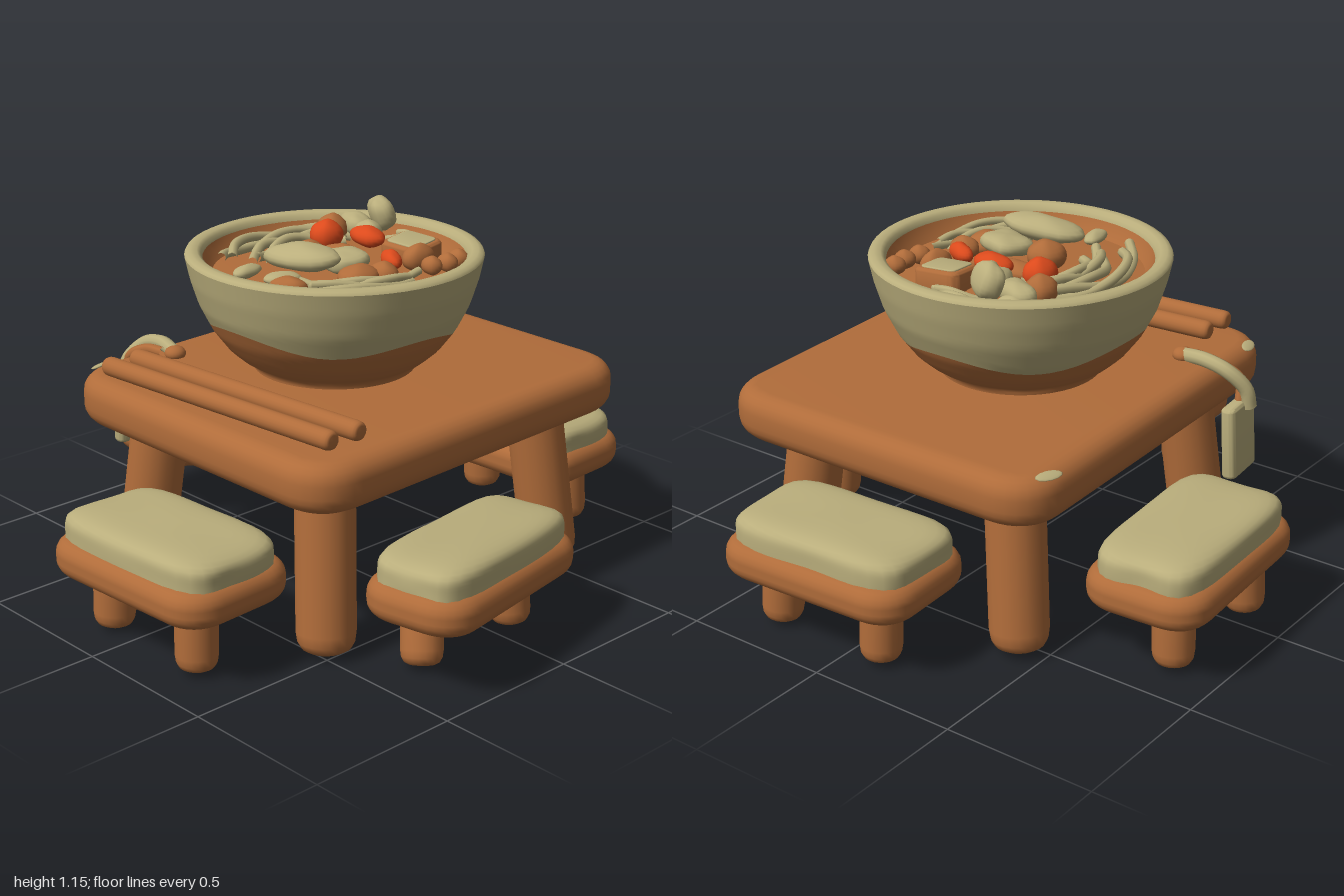
import * as THREE from 'three';
import { mergeVertices, toCreasedNormals } from 'three/addons/utils/BufferGeometryUtils.js';

const V = (x, y, z) => new THREE.Vector3(x, y, z);
const mat = (name, color, side = THREE.FrontSide) => {
  const m = new THREE.MeshStandardMaterial({ color, side });
  m.name = name;
  return m;
};

export function createModel() {
  const model = new THREE.Group();
  const wood = mat('wood', 0xb06c3a);
  const cream = mat('cream', 0xbaae7c);
  const red = mat('red', 0xdc4a1c);

  const add = (parent, name, geo, m, x = 0, y = 0, z = 0) => {
    const mesh = new THREE.Mesh(geo, m);
    mesh.name = name;
    mesh.position.set(x, y, z);
    parent.add(mesh);
    return mesh;
  };

  // Rounded slab centred on its origin, with soft edges
  const slab = (w, h, d, r, b) => {
    const s = new THREE.Shape(), x = w / 2 - b, y = d / 2 - b;
    s.moveTo(-x + r, -y);
    s.lineTo(x - r, -y); s.quadraticCurveTo(x, -y, x, -y + r);
    s.lineTo(x, y - r); s.quadraticCurveTo(x, y, x - r, y);
    s.lineTo(-x + r, y); s.quadraticCurveTo(-x, y, -x, y - r);
    s.lineTo(-x, -y + r); s.quadraticCurveTo(-x, -y, -x + r, -y);
    const g = new THREE.ExtrudeGeometry(s, {
      depth: h - 2 * b, bevelThickness: b, bevelSize: b, bevelSegments: 5, curveSegments: 8,
    });
    g.translate(0, 0, -(h - 2 * b) / 2).rotateX(-Math.PI / 2);
    return toCreasedNormals(g, 0.7);
  };

  // Soft lump: a sphere squared off by exponent n, with half sizes a, b, c
  const lump = (a, b, c, n = 2, wobble = 0, seg = 20) => {
    let g = new THREE.SphereGeometry(1, seg, Math.ceil(seg * 0.6));
    g.deleteAttribute('uv');
    g.deleteAttribute('normal');
    g = mergeVertices(g, 1e-4);
    const p = g.attributes.position;
    for (let i = 0; i < p.count; i++) {
      const x = p.getX(i), y = p.getY(i), z = p.getZ(i);
      const sum = Math.abs(x) ** n + Math.abs(y) ** n + Math.abs(z) ** n;
      const k = sum ** (-1 / n) * (1 + wobble * Math.sin(5 * x + 2) * Math.cos(4 * z + 1));
      p.setXYZ(i, x * k * a, y * k * b, z * k * c);
    }
    g.computeVertexNormals();
    return g;
  };

  // Round-ended stick from one point to another
  const stick = (parent, name, from, to, r, m = wood) => {
    const dir = to.clone().sub(from), len = dir.length();
    const pts = [[0, 0], [0.6, 0], [0.82, 0.12], [0.95, 0.35], [1, 0.7]].map(([a, b]) => [a * r, b * r]);
    const all = [...pts, ...pts.slice().reverse().map(([a, b]) => [a, len - b])];
    const g = new THREE.LatheGeometry(all.map(([a, b]) => new THREE.Vector2(a, b)), 20);
    const mesh = add(parent, name, g, m, from.x, from.y, from.z);
    mesh.quaternion.setFromUnitVectors(V(0, 1, 0), dir.normalize());
    return mesh;
  };

  // Table
  const table = new THREE.Group();
  table.name = 'table';
  model.add(table);
  const topGeo = slab(1.21, 0.16, 1.41, 0.11, 0.06);
  topGeo.applyMatrix4(new THREE.Matrix4().set(1, 0, 0.035, 0, 0, 1, 0, 0, 0, 0, 1, 0, 0, 0, 0, 1));
  add(table, 'tableTop', topGeo, wood, 0.02, 0.6, -0.045);
  for (const sx of [-1, 1]) for (const sz of [-1, 1]) {
    const x = 0.03 + 0.44 * sx, z = -0.03 + 0.505 * sz;
    stick(table, 'tableLeg', V(x, 0.01, z), V(x - 0.06 * sx, 0.6, z - 0.05 * sz), 0.093);
  }
  // Worn patches at the table corners
  for (const [x, z, rot] of [[-0.575, -0.62, -0.4], [-0.54, 0.53, 0.3]]) {
    const chip = add(table, 'wornPatch', lump(0.02, 0.005, 0.045, 2, 0, 12), cream, x, 0.673, z);
    chip.rotation.set(0, rot, 0.3);
  }

  // Stools: a slab, a cushion and two legs on the centre line
  const stool = (name, x, z, w, d, turn, tilt, legs) => {
    const g = new THREE.Group();
    g.name = name;
    model.add(g);
    const seat = new THREE.Group();
    seat.name = 'seat';
    seat.position.set(x, 0.255, z);
    seat.rotation.set(tilt, turn, 0);
    g.add(seat);
    add(seat, 'seatBoard', slab(w, 0.12, d, 0.08, 0.05), wood);
    add(seat, 'cushion', lump(w / 2 - 0.025, 0.075, d / 2 - 0.03, 5, 0.02, 48), cream, 0, 0.07, 0);
    for (const [bx, bz, tx, tz] of legs) stick(g, 'stoolLeg', V(bx, 0.01, bz), V(tx, 0.27, tz), 0.066);
  };
  stool('frontStool', 0.09, 0.765, 0.69, 0.44, 0.05, 0, [[-0.11, 0.83, -0.11, 0.82], [0.29, 0.83, 0.28, 0.82]]);
  stool('backStool', 0.08, -0.775, 0.69, 0.43, 0.05, 0, [[-0.11, -0.83, -0.11, -0.82], [0.29, -0.83, 0.28, -0.82]]);
  stool('rightSeatStool', -0.76, -0.14, 0.41, 0.71, 0.06, 0, [[-0.83, 0.08, -0.82, 0.07], [-0.83, -0.33, -0.82, -0.32]]);
  stool('leftSeatStool', 0.75, 0.14, 0.365, 0.75, 0.2, -0.04, [[0.73, 0.33, 0.66, 0.26], [0.71, -0.08, 0.69, -0.07]]);

  // Bowl: outer wall split along a wavy glaze line
  const bowl = new THREE.Group();
  bowl.name = 'bowl';
  bowl.position.set(-0.035, 0, -0.03);
  model.add(bowl);
  const profile = [[0.67, 0.26], [0.7, 0.265], [0.72, 0.305], [0.76, 0.35], [0.82, 0.395], [0.9, 0.435], [0.98, 0.46], [1.05, 0.475]];
  const radius = (y) => {
    let i = 1;
    while (i < profile.length - 1 && profile[i][0] < y) i++;
    const [y0, r0] = profile[i - 1], [y1, r1] = profile[i];
    return r0 + (r1 - r0) * (y - y0) / (y1 - y0);
  };
  const glaze = (a) => 0.835 + 0.022 * Math.cos(4 * a) + 0.018 * Math.cos(a);
  const wall = (low, high) => {
    const rows = Array.from({ length: 15 }, (_, i) => new THREE.Vector2(1, i / 14));
    const g = new THREE.LatheGeometry(rows, 64), p = g.attributes.position;
    for (let i = 0; i < p.count; i++) {
      const a = Math.atan2(p.getX(i), p.getZ(i)), t = p.getY(i);
      const y = low(a) + (high(a) - low(a)) * t, r = radius(y);
      p.setXYZ(i, r * Math.sin(a), y, r * Math.cos(a));
    }
    g.deleteAttribute('uv');
    g.deleteAttribute('normal');
    const merged = mergeVertices(g, 1e-4);
    merged.computeVertexNormals();
    return merged;
  };
  const lathe = (pts) => new THREE.LatheGeometry(pts.map(([r, y]) => new THREE.Vector2(r, y)), 64);
  add(bowl, 'bowlBase', wall(() => 0.67, glaze), wood);
  add(bowl, 'bowlGlaze', wall(glaze, () => 1.05), cream);
  add(bowl, 'bowlRim', lathe([[0.475, 1.05], [0.47, 1.06], [0.455, 1.066], [0.435, 1.064], [0.423, 1.055], [0.418, 1.04]]), cream);
  add(bowl, 'bowlInside', lathe([[0.418, 1.04], [0.405, 1.01], [0.385, 0.985]]), wood);
  add(bowl, 'broth', lathe([[0.39, 0.99], [0.25, 1.0], [0, 1.0]]), wood);

  // Food, placed as [x, y, z, half sizes, turn, tilt, squareness]
  const food = new THREE.Group();
  food.name = 'food';
  model.add(food);
  const pieces = (name, m, list) => list.forEach(([x, y, z, a, b, c, turn = 0, tilt = 0, n = 2]) => {
    add(food, name, lump(a, b, c, n, 0.06), m, x, y, z).rotation.set(tilt, turn, tilt * 0.6);
  });
  pieces('mushroom', cream, [
    [-0.16, 1.09, -0.36, 0.065, 0.055, 0.04, -0.5, 0.4, 2.6], [-0.23, 1.05, -0.31, 0.075, 0.035, 0.045, -0.4, 0, 2.4],
    [-0.12, 1.05, -0.26, 0.045, 0.04, 0.04, 0.4, 0, 2.4], [-0.25, 1.03, -0.36, 0.05, 0.03, 0.03, 0.3],
  ]);
  pieces('leaf', cream, [
    [0, 1.075, 0.14, 0.14, 0.04, 0.075, 0.15, 0.1], [0.05, 1.05, 0.01, 0.08, 0.03, 0.07, -0.3, 0.1, 3],
    [-0.11, 1.03, 0.27, 0.03, 0.02, 0.06, 0.2], [0.02, 1.03, 0.24, 0.04, 0.02, 0.06, -0.4],
  ]);
  pieces('carrot', red, [
    [-0.05, 1.065, -0.19, 0.072, 0.033, 0.045, -0.15], [0.13, 1.04, -0.12, 0.06, 0.03, 0.03, -0.5],
    [-0.19, 1.05, -0.14, 0.052, 0.05, 0.055],
  ]);
  pieces('meat', wood, [
    [-0.09, 1.035, 0.03, 0.062, 0.05, 0.06], [-0.26, 1.04, -0.23, 0.05, 0.05, 0.05], [0.15, 1.02, 0.04, 0.06, 0.04, 0.07],
    [0.07, 1.02, 0.26, 0.06, 0.03, 0.04, 0.5], [0.18, 1.02, -0.04, 0.05, 0.04, 0.04], [0.24, 1.03, -0.31, 0.035, 0.03, 0.03],
    [0.25, 1.03, -0.25, 0.035, 0.03, 0.03], [0.24, 1.03, -0.19, 0.035, 0.03, 0.03], [-0.07, 1.02, -0.1, 0.08, 0.03, 0.05],
    [0.15, 1.03, -0.22, 0.04, 0.045, 0.06],
  ]);
  const tofu = add(food, 'tofu', slab(0.16, 0.1, 0.15, 0.02, 0.015), wood, 0.06, 1.01, -0.28);
  tofu.rotation.set(0.08, 0.1, -0.05);
  add(tofu, 'tofuTop', slab(0.125, 0.008, 0.115, 0.02, 0.003), cream, 0, 0.05, 0);

  // Noodles in bundles that follow the bowl wall
  const noodles = (count, r0, dr, a0, a1, lift, thick) => {
    for (let i = 0; i < count; i++) {
      const pts = [];
      for (let j = 0; j <= 6; j++) {
        const t = j / 6, a = a0 + (a1 - a0) * t + 0.12 * Math.sin(i * 2.3);
        const r = r0 + dr * i + 0.025 * Math.sin(3 * t + i * 1.7);
        pts.push(V(-0.035 + r * Math.cos(a), 1.01 + lift * Math.sin(t * 3 + i) ** 2, -0.03 + r * Math.sin(a)));
      }
      add(food, 'noodle', new THREE.TubeGeometry(new THREE.CatmullRomCurve3(pts), 28, thick, 8), cream);
    }
  };
  noodles(6, 0.2, 0.028, 2.3, 4.0, 0.035, 0.016);
  noodles(4, 0.25, 0.028, -0.2, 1.1, 0.025, 0.013);
  noodles(2, 0.32, 0.03, 4.4, 5.0, 0.02, 0.012);

  // Chopsticks with two small rests
  for (const dz of [0, 0.11]) {
    stick(model, 'chopstick', V(-0.43, 0.715, 0.475 + dz), V(0.54, 0.715, 0.4 + dz), 0.031);
  }
  for (const x of [0.06, 0.33]) stick(model, 'chopstickRest', V(x, 0.685, 0.52), V(x + 0.03, 0.685, 0.44), 0.012);

  // Hanging tag, its strap and cord
  const strap = new THREE.CatmullRomCurve3([V(-0.43, 0.69, 0.31), V(-0.52, 0.7, 0.295), V(-0.6, 0.68, 0.3), V(-0.655, 0.62, 0.33), V(-0.665, 0.56, 0.34)]);
  add(model, 'tagStrap', new THREE.TubeGeometry(strap, 24, 0.024, 10), cream);
  const cord = new THREE.CatmullRomCurve3([V(-0.46, 0.69, 0.335), V(-0.55, 0.68, 0.335), V(-0.62, 0.64, 0.35), V(-0.635, 0.57, 0.33)]);
  add(model, 'tagCord', new THREE.TubeGeometry(cord, 24, 0.018, 8), wood);
  add(model, 'strapKnot', lump(0.035, 0.025, 0.035), wood, -0.43, 0.69, 0.31);
  const tag = add(model, 'tag', slab(0.05, 0.24, 0.17, 0.012, 0.012), cream, -0.643, 0.46, 0.315);
  tag.rotation.set(0, 0.1, -0.06);

  return model;
}
